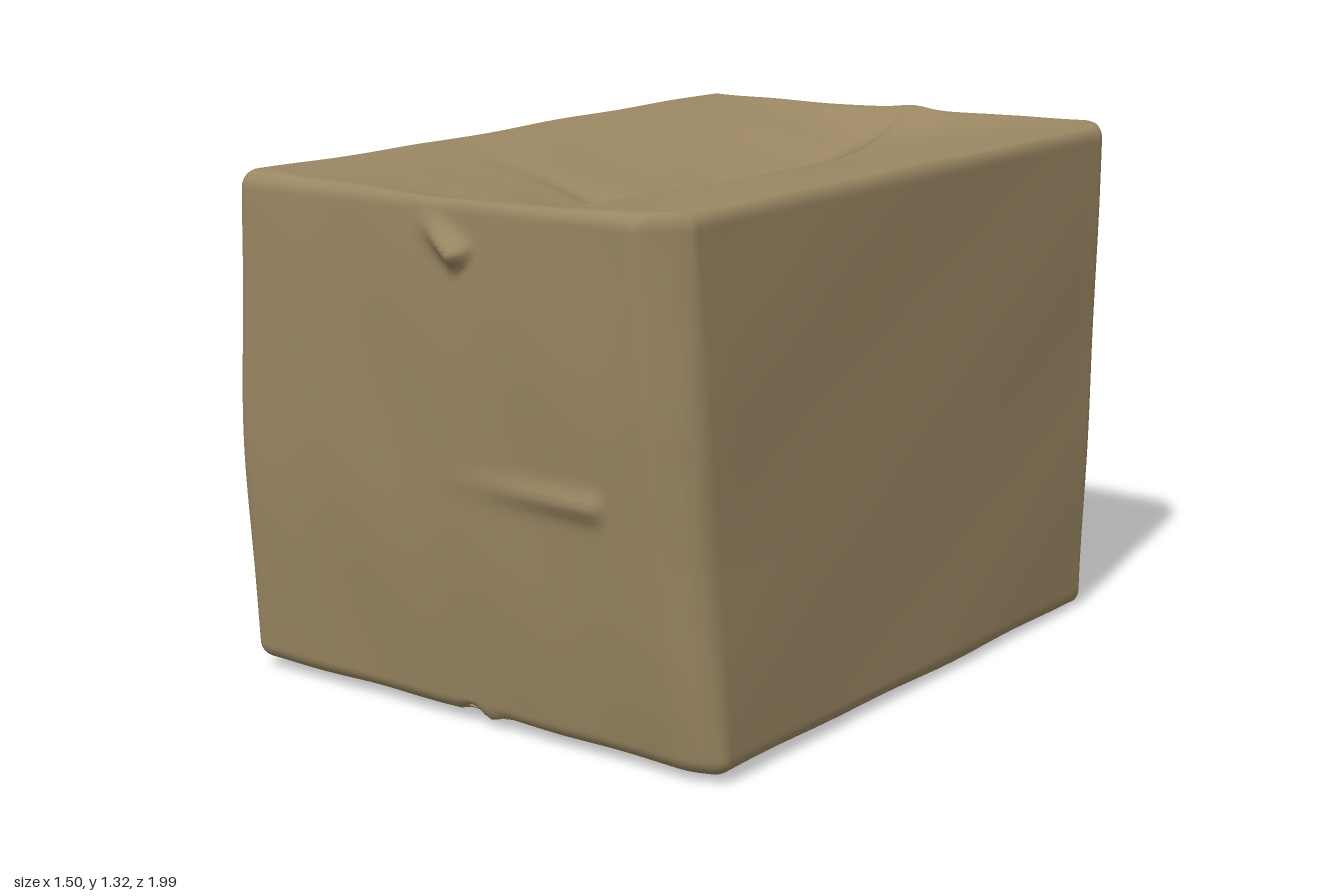
import * as THREE from 'three';
import { mergeGeometries, mergeVertices } from 'three/addons/utils/BufferGeometryUtils.js';

const HALF = new THREE.Vector3(0.7, 0.63, 0.95);
const ROUND = 0.04;
const N = 80;

// Slightly skewed corners of the carton: [left/right][bottom/top][back/front]
const CORNERS = [
  [[[-0.72, 0.015, -0.975], [-0.725, 0.03, 0.83]], [[-0.6, 1.325, -0.995], [-0.67, 1.268, 0.885]]],
  [[[0.722, 0.005, -0.955], [0.712, 0.022, 0.855]], [[0.748, 1.322, -0.95], [0.675, 1.28, 0.995]]],
];

const ease = (t) => Math.sin((t - 0.5) * Math.PI); // 0..1 -> -1..1, dense at both ends
const bell = (x, c, w) => Math.exp(-(((x - c) / w) ** 2));
const step = THREE.MathUtils.smoothstep;

// Maps a point on the unit cube to the rounded, bulging, crumpled carton
function shape(a, b, c) {
  const p = new THREE.Vector3(a, b, c).multiply(HALF);
  const inner = p.clone();
  for (const k of ['x', 'y', 'z']) {
    const m = HALF[k] - ROUND;
    inner[k] = THREE.MathUtils.clamp(p[k], -m, m);
  }
  const n = p.sub(inner).normalize();
  const q = inner.addScaledVector(n, ROUND).divide(HALF);

  const out = new THREE.Vector3();
  for (const i of [0, 1]) for (const j of [0, 1]) for (const k of [0, 1]) {
    const w = (i ? 1 + q.x : 1 - q.x) * (j ? 1 + q.y : 1 - q.y) * (k ? 1 + q.z : 1 - q.z) / 8;
    out.addScaledVector(new THREE.Vector3(...CORNERS[i][j][k]), w);
  }
  const fx = 1 - q.x ** 2, fy = 1 - q.y ** 2, fz = 1 - q.z ** 2;
  // Wall bulges
  if (n.x < 0) out.x += n.x * fy * (0.015 + 0.045 * fz);
  out.z += n.z * fy * (n.z > 0 ? 0.025 : 0.006) + Math.min(0, n.z) * 0.015 * fx;
  // Blunted vertical corners on the +x side
  const blunt = 0.08 * step(q.x, 0.85, 1) * step(Math.abs(q.z), 0.8, 1);
  out.z -= Math.sign(q.z) * blunt * (q.z > 0 ? 0.65 + 0.35 * q.y : 1);

  if (n.z > 0) {
    // Horizontal ridge across the front
    const along = step(out.x, -0.05, 0.4) * (1 - step(out.x, 0.44, 0.48));
    out.z += n.z * along * 0.02 * bell(out.y, 0.615, 0.028);
    // Slanting fold under the front rim
    const u = 0.83 * (out.x - 0.03) - 0.56 * (out.y - 1.17);
    const v = 0.56 * (out.x - 0.03) + 0.83 * (out.y - 1.17);
    out.z += n.z * 0.045 * step(u, -0.11, 0.06) * (1 - step(u, 0.06, 0.085)) * bell(v, 0, 0.028);
  }
  // Soft fold halfway up the back
  if (n.z < 0) out.z -= n.z * 0.012 * fx * bell(out.y, 0.72, 0.12);
  // Bump on the back rim and tear under the front rim, at the ends of the seams
  if (n.y > 0) out.y += n.y * 0.015 * bell(out.x, 0.1, 0.06) * step(-q.z, 0.93, 1);
  if (n.y < 0) out.y -= n.y * step(q.z, 0.9, 1) * (0.02 * bell(out.x, 0, 0.025) - 0.02 * bell(out.x, 0.05, 0.03));
  // Fine wrinkles
  const wave = 0.002 * Math.sin(9 * out.y + 5 * out.z + 3 * out.x) + 0.0015 * Math.sin(17 * out.x - 11 * out.z + 7 * out.y);
  return out.addScaledVector(n, wave);
}

// Grid surface facing along u x v
function patch(fn, nu = N, nv = N) {
  const pos = [], idx = [];
  for (let j = 0; j <= nv; j++) for (let i = 0; i <= nu; i++) pos.push(...fn(i / nu, j / nv).toArray());
  for (let j = 0; j < nv; j++) for (let i = 0; i < nu; i++) {
    const a = j * (nu + 1) + i, d = a + nu + 1;
    idx.push(a, a + 1, d + 1, a, d + 1, d);
  }
  const g = new THREE.BufferGeometry();
  g.setAttribute('position', new THREE.Float32BufferAttribute(pos, 3));
  g.setIndex(idx);
  g.computeVertexNormals();
  return g;
}

// How far the top is torn open along the seam
const opening = (c) => Math.max(0, 1 - ((c * 0.92 + 0.02) / 0.62) ** 2);

// Seam edge of a top flap, with a ragged gap on the -x flap
function topSeam(c, side) {
  const z = c * 0.92;
  let x = 0.05 - 0.028 * z;
  if (side < 0) {
    x -= 0.045 * opening(c) + 0.09 * bell(z, 0.24, 0.065);
    if (opening(c) > 0) x += 0.003 * Math.sin(40 * z);
  }
  return (x - 0.037 + 0.037 * c) / 0.67;
}

// Flap reaching from a side wall to the middle seam; its last row folds down as a lip
function flap(side, up, seam, drop) {
  const nu = 34;
  return patch((u, v) => {
    const c = up * -ease(v);
    const s = side < 0 ? u : 1 - u;
    const lip = s > 1 - 0.5 / nu;
    const t = Math.min(1, s * nu / (nu - 1));
    const edge = seam(c, side);
    const a = side + (edge - side) * (1 - Math.cos(t * Math.PI / 2));
    const p = shape(a, up, c);
    p.y -= drop(t, c, side);
    if (lip) p.y -= up * 0.025 * (1 - c ** 8);
    return p;
  }, nu, N);
}

const topDrop = (t, c, side) =>
  (0.105 * (1 - 0.2 * c) + (side < 0 ? 0.05 * opening(c) : 0)) * t ** 2.2 * (1 - Math.abs(c) ** 6);
const bottomDrop = (t, c, side) => (side < 0 ? 0.006 : -0.025) * t ** 5 * (1 - c ** 8);

export function createModel() {
  const model = new THREE.Group();
  const cardboard = new THREE.MeshStandardMaterial({ color: 0x9a8662, side: THREE.DoubleSide });
  cardboard.name = 'cardboard brown';
  const dark = new THREE.MeshStandardMaterial({ color: 0x1c1c1e, side: THREE.DoubleSide });
  dark.name = 'interior black';

  const add = (name, geometry, material = cardboard) => {
    const mesh = new THREE.Mesh(geometry, material);
    mesh.name = name;
    model.add(mesh);
    return mesh;
  };

  // Four walls joined with smooth corners; the front is finer for its folds
  const walls = mergeVertices(mergeGeometries([
    patch((u, v) => shape(ease(u), ease(v), 1), 120, 120),
    patch((u, v) => shape(1, ease(v), -ease(u))),
    patch((u, v) => shape(-ease(u), ease(v), -1)),
    patch((u, v) => shape(-1, ease(v), ease(u))),
  ].map((g) => g.deleteAttribute('normal'))));
  walls.computeVertexNormals();
  add('walls', walls);

  // Top and bottom flaps
  for (const side of [-1, 1]) {
    const label = side > 0 ? 'Left' : 'Right';
    add(`top${label}Flap`, flap(side, 1, topSeam, topDrop));
    add(`bottom${label}Flap`, flap(side, -1, () => 0.03, bottomDrop));
  }

  // Darkness seen through the gap
  const inside = add('darkInterior', new THREE.PlaneGeometry(1.1, 1.6), dark);
  inside.rotation.x = -Math.PI / 2;
  inside.position.y = 1.06;

  return model;
}
